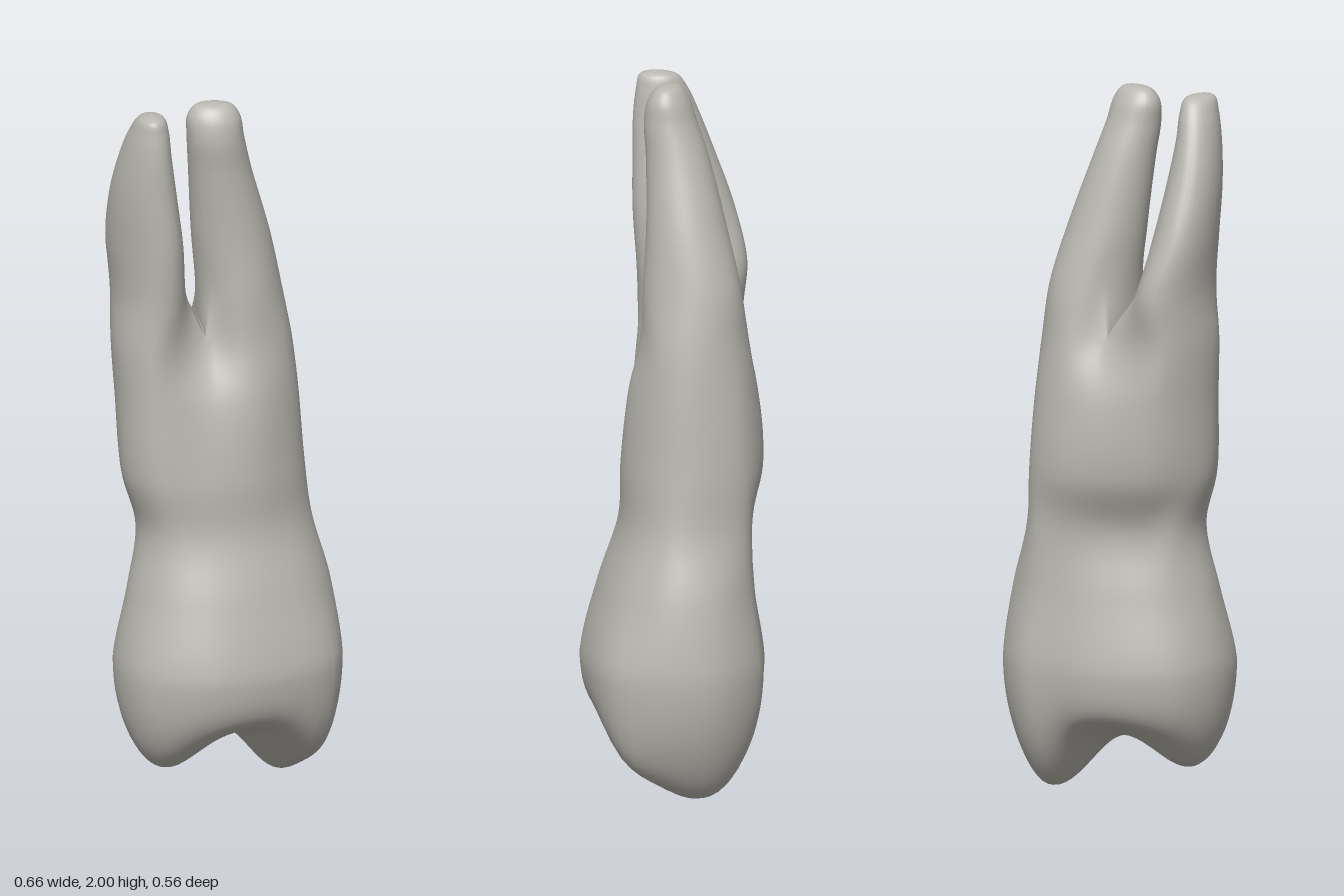
import * as THREE from 'three';
import { mergeGeometries, mergeVertices } from 'three/addons/utils/BufferGeometryUtils.js';

const SIDES = 60;           // columns round the crown and trunk
const FRONT = 15, BACK = 40; // columns where the two roots part
const BRIDGE = 25;          // columns across the saddle between the roots

const ivory = new THREE.MeshStandardMaterial({ color: 0xbab8b1 });
ivory.name = 'ivory';

// Stitches closed rings, listed from bottom to top, into one surface
function skin(rings) {
  const n = rings[0].length, index = [];
  for (let i = 0; i < rings.length - 1; i++) {
    for (let j = 0; j < n; j++) {
      const a = i * n + j, b = i * n + (j + 1) % n;
      index.push(a, a + n, b, b, a + n, b + n);
    }
  }
  const geometry = new THREE.BufferGeometry();
  const position = rings.flat().flatMap(p => [p.x, p.y, p.z]);
  geometry.setAttribute('position', new THREE.Float32BufferAttribute(position, 3));
  geometry.setIndex(index);
  return geometry;
}

// Smooth in-between rings from key ring number first to number last;
// key rings outside that range only steer the slope at the ends
function refine(keys, first, last, steps = 8) {
  const columns = keys[0].map((_, j) => new THREE.CatmullRomCurve3(keys.map(r => r[j])));
  const count = (last - first) * steps;
  return Array.from({ length: count + 1 }, (_, i) =>
    columns.map(c => c.getPoint((first + i / steps) / (keys.length - 1))));
}

// Smooth closed outline at height y from [x, z] points
function outline([y, points]) {
  const curve = new THREE.CatmullRomCurve3(points.map(([x, z]) => new THREE.Vector3(x, y, z)), true);
  return Array.from({ length: SIDES }, (_, j) => curve.getPoint(j / SIDES));
}

// Crown and neck outlines, starting at +x and turning towards +z
const crown = [
  [0.37, [[.33, -.05], [.302, .11], [.1, .245], [-.07, .28], [-.232, .222], [-.305, .095],
    [-.3, -.04], [-.22, -.148], [-.1, -.225], [.02, -.26], [.13, -.278], [.268, -.205]]],
  [0.58, [[.298, -.06], [.25, .08], [.1, .19], [-.06, .23], [-.195, .19], [-.268, .085],
    [-.26, -.03], [-.192, -.122], [-.1, -.185], [.01, -.23], [.12, -.25], [.24, -.19]]],
  [0.76, [[.248, -.06], [.21, .04], [.1, .13], [-.06, .175], [-.17, .16], [-.235, .08],
    [-.243, -.02], [-.182, -.093], [-.11, -.145], [0, -.215], [.11, -.24], [.2, -.17]]],
];

// Root trunk outlines, pinched at the front and back where the roots part
const trunk = [
  [0.92, [[.228, -.06], [.2, .03], [.1, .125], [-.06, .168], [-.2, .17], [-.275, .09],
    [-.287, 0], [-.25, -.11], [-.13, -.2], [0, -.25], [.12, -.235], [.2, -.15]]],
  [1.14, [[.21, -.06], [.185, .02], [.09, .11], [-.05, .13], [-.2, .165], [-.28, .1],
    [-.305, 0], [-.27, -.12], [-.13, -.19], [0, -.235], [.11, -.22], [.18, -.15]]],
  [1.3, [[.19, -.06], [.165, .02], [.06, .085], [-.055, .065], [-.19, .16], [-.28, .11],
    [-.316, 0], [-.28, -.115], [-.09, -.14], [0, -.21], [.09, -.205], [.16, -.15]]],
];

// Root sections: height, centre x, centre z, half width, half depth, skew
const outerRoot = [
  [1.44, -.212, .01, .1, .15, .2], [1.6, -.224, .038, .095, .132, .35], [1.75, -.228, .067, .083, .107, .35],
  [1.87, -.222, .088, .065, .086, .3], [1.94, -.213, .097, .052, .07, .2], [1.98, -.207, .105, .035, .052, .1],
  [1.992, -.204, .108, 0, 0, 0],
];
const innerRoot = [
  [1.44, .043, -.059, .12, .138, 0], [1.6, .02, -.038, .11, .114, 0], [1.8, -.012, -.002, .088, .088, 0],
  [1.9, -.025, .022, .08, .073, 0], [1.96, -.03, .028, .074, .056, 0], [1.992, -.03, .028, .05, .032, 0],
  [2.0, -.03, .028, 0, 0, 0],
];

// Key rings of a root: the trunk's side of the split, closed by the saddle, then ovals.
// The side sweeps from angle start (degrees), the saddle takes the rest of the turn
function rootKeys(below, split, from, arc, start, sweep, sections) {
  const side = ring => Array.from({ length: arc + 1 }, (_, k) => ring[(from + k) % SIDES]);
  const lower = side(below), base = side(split);
  for (let k = 1; k < BRIDGE; k++) {
    const t = k / BRIDGE;
    const p = base[arc].clone().lerp(base[0], t);
    p.y += 0.04 * Math.sin(t * Math.PI);
    base.push(p);
    lower.push(p.clone().setY(p.y - 0.1));
  }
  const ovals = sections.map(([y, cx, cz, rx, rz, skew]) => base.map((_, k) => {
    const turn = k < arc ? sweep * k / arc : sweep + (360 - sweep) * (k - arc) / BRIDGE;
    const a = THREE.MathUtils.degToRad(start + turn);
    const z = rz * Math.sin(a);
    return new THREE.Vector3(cx + rx * Math.cos(a) + skew * z, y, cz + z);
  }));
  return [lower, base, ...ovals];
}

// Height of the biting surface: a plateau with two main cusps and two shoulders
function biteHeight(x, z) {
  const cusp = (cx, cz, w) => Math.exp(-((x - cx) ** 2 + (z - cz) ** 2) / (w * w));
  return 0.215 - 0.195 * cusp(.165, -.08, .15) - 0.145 * cusp(-.175, .1, .148)
    - 0.085 * cusp(.28, .07, .11) - 0.07 * cusp(.13, -.2, .1);
}

// Underside rounding from the widest outline into the cusps
function underside(rim) {
  const count = 28;
  return Array.from({ length: count }, (_, i) => {
    const s = Math.sin(i / count * Math.PI / 2);
    const rise = 1 - Math.sqrt(1 - s ** 9);
    return rim.map(p => {
      const h = biteHeight(p.x * s, p.z * s);
      return new THREE.Vector3(p.x * s, Math.max(0, h + (p.y - h) * rise), p.z * s);
    });
  });
}

export function createModel() {
  const body = [...crown, ...trunk].map(outline);
  const [below, split] = body.slice(-2);
  const outerArc = BACK - FRONT, innerArc = SIDES - outerArc;
  const outer = rootKeys(below, split, FRONT, outerArc, 14, 306, outerRoot);
  const inner = rootKeys(below, split, BACK, innerArc, 208, 284, innerRoot);

  // Steering rings below the crown's widest line and above the split
  const under = body[0].map(p => new THREE.Vector3(p.x * .985, .2, p.z * .985));
  const above = split.map((_, j) => j >= FRONT && j <= BACK
    ? outer[2][j - FRONT] : inner[2][(j - BACK + SIDES) % SIDES]);
  const bodyRings = refine([under, ...body, above], 1, body.length);

  // Crown with trunk and both roots, welded so the shading runs across the joins
  const parts = [
    skin([...underside(body[0]), ...bodyRings]),
    skin(refine(outer, 1, outer.length - 1)),
    skin(refine(inner, 1, inner.length - 1)),
  ];
  const geometry = mergeVertices(mergeGeometries(parts), 1e-5);
  geometry.computeVertexNormals();
  const mesh = new THREE.Mesh(geometry, ivory);
  mesh.name = 'crownAndRoots';

  const tooth = new THREE.Group();
  tooth.name = 'tooth';
  tooth.add(mesh);
  return tooth;
}
